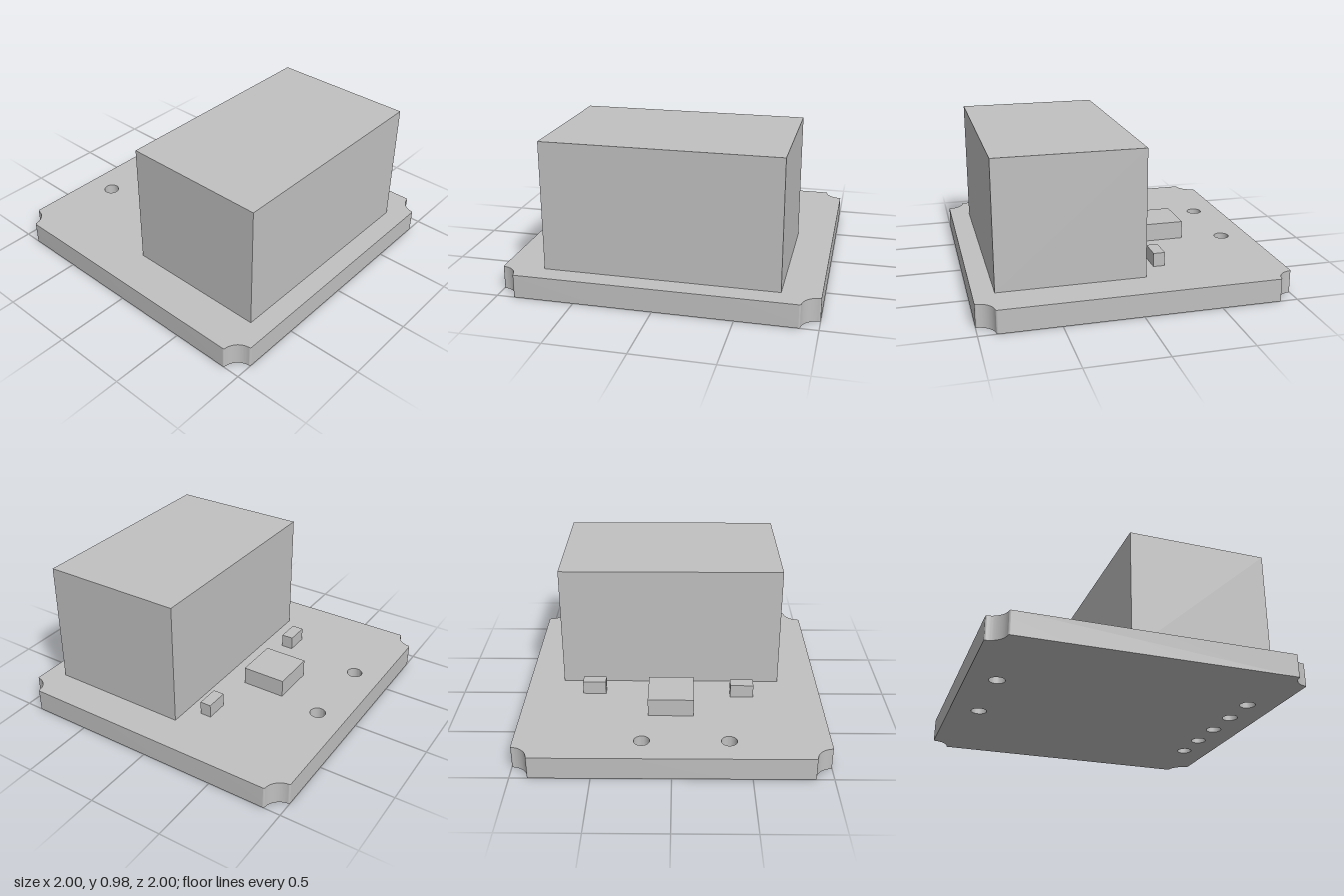
import * as THREE from 'three';
import { toCreasedNormals } from 'three/addons/utils/BufferGeometryUtils.js';

const BOARD_H = 0.15;

export function createModel() {
  const model = new THREE.Group();
  const grey = new THREE.MeshStandardMaterial({ color: 0xc0c0c0 });
  grey.name = 'grey';

  const add = (name, geometry) => {
    const mesh = new THREE.Mesh(geometry, grey);
    mesh.name = name;
    model.add(mesh);
  };

  // Board outline: a square with a concave scoop and eased lips at each corner
  const outline = new THREE.Shape();
  const r = 0.11, lip = 0.12, ease = 0.12;
  for (let i = 0; i < 4; i++) {
    const turn = i * Math.PI / 2;
    const place = (x, y) => new THREE.Vector2(x, y).rotateAround(new THREE.Vector2(), turn);
    const start = place(1, 1 - lip);
    if (i === 0) outline.moveTo(start.x, start.y);
    else outline.lineTo(start.x, start.y);
    const a0 = 1.5 * Math.PI - ease, a1 = Math.PI + ease;
    const first = place(1 + r * Math.cos(a0), 1 + r * Math.sin(a0));
    const ctrl = place(1, 1 - r);
    outline.quadraticCurveTo(ctrl.x, ctrl.y, first.x, first.y);
    const centre = place(1, 1);
    outline.absarc(centre.x, centre.y, r, a0 + turn, a1 + turn, true);
    const end = place(1 - lip, 1), ctrl2 = place(1 - r, 1);
    outline.quadraticCurveTo(ctrl2.x, ctrl2.y, end.x, end.y);
  }
  outline.closePath();

  // Two mounting holes at the back and a row of five pin holes under the block
  const holes = [[-0.36, -0.81], [0.19, -0.81]];
  for (let i = 0; i < 5; i++) holes.push([0.515 - 0.25 * i, 0.81]);
  for (const [x, z] of holes) {
    const hole = new THREE.Path();
    hole.absarc(x, -z, 0.051, 0, Math.PI * 2, true);
    outline.holes.push(hole);
  }

  const board = new THREE.ExtrudeGeometry(outline, {
    depth: BOARD_H, bevelEnabled: false, curveSegments: 16,
  });
  board.rotateX(-Math.PI / 2);
  add('board', toCreasedNormals(board, Math.PI / 5));

  // Box components standing on the board: x range, z range, top height
  const boxes = [
    ['mainBlock', -0.73, 0.76, -0.08, 0.865, 0.98],
    ['chip', -0.14, 0.16, -0.525, -0.23, 0.27],
    ['rightComponent', -0.545, -0.39, -0.29, -0.21, 0.24],
    ['leftComponent', 0.455, 0.61, -0.25, -0.175, 0.24],
  ];
  for (const [name, x0, x1, z0, z1, top] of boxes) {
    const box = new THREE.BoxGeometry(x1 - x0, top - BOARD_H, z1 - z0);
    box.translate((x0 + x1) / 2, (top + BOARD_H) / 2, (z0 + z1) / 2);
    add(name, box);
  }

  return model;
}
